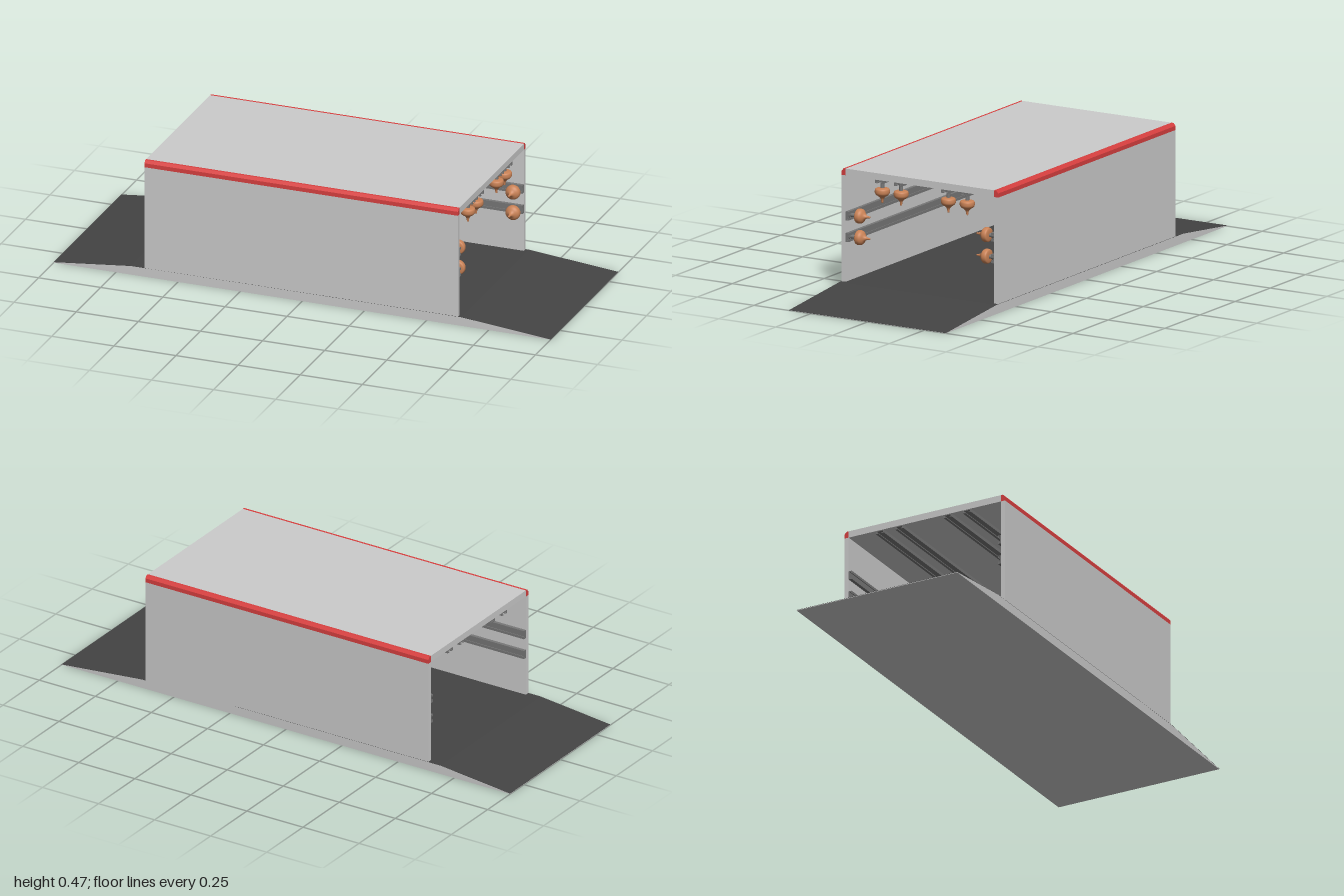
import * as THREE from 'three';

const mat = (color, extra = {}) => new THREE.MeshStandardMaterial({ color, ...extra });
const grey = mat(0xcccccc);
const dark = mat(0x444444);
const red = mat(0xd84040);
const steel = mat(0x777777);
const wood = mat(0xc98256, { side: THREE.DoubleSide });

const X0 = -0.635, X1 = 0.627, LEN = X1 - X0, MID = (X0 + X1) / 2;
const HALF = 0.345, WALL = 0.018, FLOOR = 0.035, ROOF = 0.472, CEIL = 0.446;

function add(parent, name, geometry, material, x = 0, y = 0, z = 0) {
  const mesh = new THREE.Mesh(geometry, material);
  mesh.name = name;
  mesh.position.set(x, y, z);
  parent.add(mesh);
  return mesh;
}

const outline = (points) => new THREE.Shape(points.map(([x, y]) => new THREE.Vector2(x, y)));
const extrude = (points, depth) =>
  new THREE.ExtrudeGeometry(outline(points), { depth, bevelEnabled: false });

// Section drawn across the tunnel, run along its length
const alongX = (points) => extrude(points, LEN).rotateY(Math.PI / 2);

// Channel rail with lips turned in, opening downwards
const railGeometry = alongX([
  [-0.017, 0], [-0.017, -0.013], [-0.007, -0.013], [-0.007, -0.010], [-0.013, -0.010], [-0.013, -0.004],
  [0.013, -0.004], [0.013, -0.010], [0.007, -0.010], [0.007, -0.013], [0.017, -0.013], [0.017, 0],
]);

// Turned body with rounded rim and a long tip
const topProfile = new THREE.SplineCurve([
  [0.0035, -0.0915], [0.0045, -0.083], [0.007, -0.075], [0.013, -0.068], [0.022, -0.062],
  [0.0275, -0.055], [0.0285, -0.046], [0.0265, -0.038], [0.019, -0.035], [0.008, -0.034],
].map(([x, y]) => new THREE.Vector2(x, y))).getPoints(32);
const topGeometry = new THREE.LatheGeometry(
  [new THREE.Vector2(0, -0.093), ...topProfile, new THREE.Vector2(0, -0.034)], 32);

// Rail with one spinning top hung near its end, pointing down from the origin
function hangingUnit() {
  const unit = new THREE.Group();
  unit.name = 'railWithTop';
  add(unit, 'rail', railGeometry, steel, X0);
  const top = new THREE.Group();
  top.name = 'spinningTop';
  top.position.x = 0.602;
  add(top, 'stem', new THREE.CylinderGeometry(0.0075, 0.0075, 0.031, 20), steel, 0, -0.0205);
  add(top, 'slider', new THREE.CylinderGeometry(0.012, 0.012, 0.004, 20), steel, 0, -0.007);
  add(top, 'topBody', topGeometry, wood);
  unit.add(top);
  return unit;
}

export function createModel() {
  const model = new THREE.Group();
  model.name = 'tunnel';

  // Floor slab with a ramp at each end, and its dark running surface
  const slope = [[-1, 0.002], [-0.69, FLOOR], [0.64, FLOOR], [1, 0.001]];
  add(model, 'base', extrude([[-1, 0], [1, 0], ...[...slope].reverse()], 2 * HALF), grey, 0, 0, -HALF);
  const skin = slope.map(([x, y]) => [x, y + 0.001]).reverse();
  add(model, 'deck', extrude([...slope, ...skin], 2 * HALF), dark, 0, 0, -HALF);

  // Roof between the corner trims
  add(model, 'roof', new THREE.BoxGeometry(LEN, ROOF - CEIL, 2 * (HALF - WALL)), grey, MID, (ROOF + CEIL) / 2);

  for (const side of [1, -1]) {
    // Side wall
    add(model, 'wall', new THREE.BoxGeometry(LEN, CEIL - FLOOR, WALL), grey,
      MID, (CEIL + FLOOR) / 2, side * (HALF - WALL / 2));

    // Chamfered corner trim
    const inner = HALF - WALL;
    const trim = [[inner, CEIL], [HALF, CEIL], [HALF, ROOF - 0.010], [HALF - 0.009, ROOF], [inner, ROOF]];
    add(model, 'cornerTrim', alongX(trim.map(([z, y]) => [-side * z, y])), red, X0);

    // Wall rails
    for (const y of [0.29, 0.207]) {
      const unit = hangingUnit();
      unit.position.set(0, y, side * inner);
      unit.rotation.x = side * Math.PI / 2;
      model.add(unit);
    }
  }

  // Ceiling rails
  for (const z of [0.181, 0.098, -0.11, -0.193]) {
    const unit = hangingUnit();
    unit.position.set(0, CEIL, z);
    model.add(unit);
  }
  return model;
}
